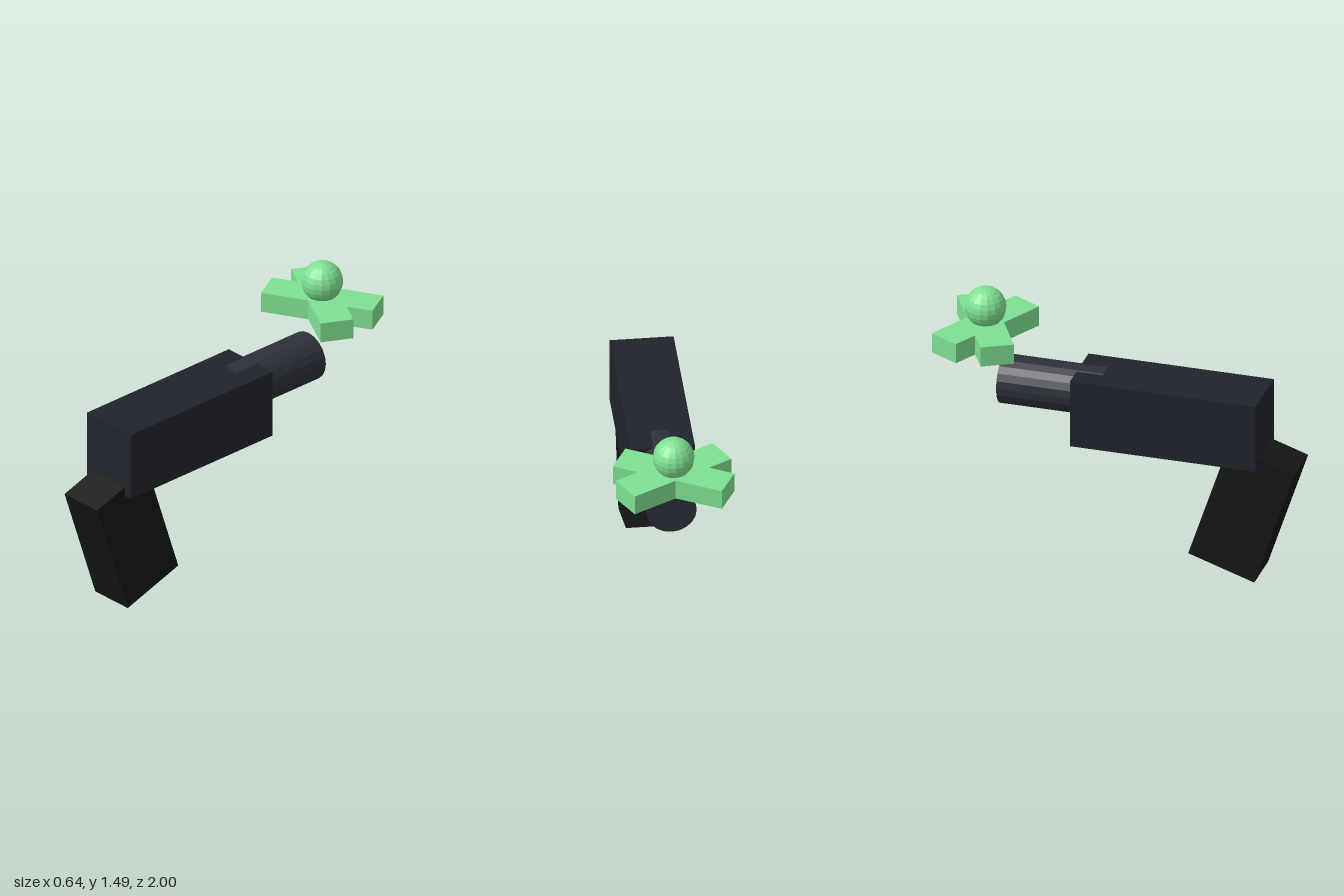
import * as THREE from 'three';

const paint = (color) => new THREE.MeshStandardMaterial({ color, flatShading: true });

export function createModel() {
  const model = new THREE.Group();
  model.name = 'handheldBlaster';
  const bodyPaint = paint(0x20232c);
  const gripPaint = paint(0x151617);
  const barrelPaint = paint(0x2d303a);
  const green = paint(0x7fe092);

  const add = (name, geometry, material, x, y, z) => {
    const mesh = new THREE.Mesh(geometry, material);
    mesh.name = name;
    mesh.position.set(x, y, z);
    model.add(mesh);
    return mesh;
  };

  // Main body and slanted grip
  add('body', new THREE.BoxGeometry(0.345, 0.39, 1.04), bodyPaint, 0, 0.89, 0.275);
  add('grip', new THREE.BoxGeometry(0.256, 0.716, 0.39), gripPaint, 0, 0.403, 0.703).rotation.x = 0.32;

  // Barrel, sunk into the far end of the body
  const barrel = new THREE.CylinderGeometry(0.136, 0.136, 0.575, 20).rotateX(-Math.PI / 2);
  add('barrel', barrel, barrelPaint, 0, 0.96, -0.3825);

  // Floating cross: one outline of two bars crossing at an angle
  const quarter = [[0.193, 0], [0.32, 0.07], [0.235, 0.23], [0, 0.104]];
  const outline = [
    ...quarter,
    ...quarter.slice(0, 3).reverse().map(([x, y]) => [-x, y]),
    ...quarter.slice(1).map(([x, y]) => [-x, -y]),
    ...quarter.slice(1, 3).reverse().map(([x, y]) => [x, -y]),
  ].map(([x, y]) => new THREE.Vector2(x, y));
  const cross = new THREE.ExtrudeGeometry(new THREE.Shape(outline), { depth: 0.115, bevelEnabled: false });
  add('cross', cross.rotateX(-Math.PI / 2), green, 0, 1.18, -0.77);

  // Ball resting on the cross
  add('ball', new THREE.SphereGeometry(0.113, 16, 12), green, 0, 1.376, -0.77);

  return model;
}
